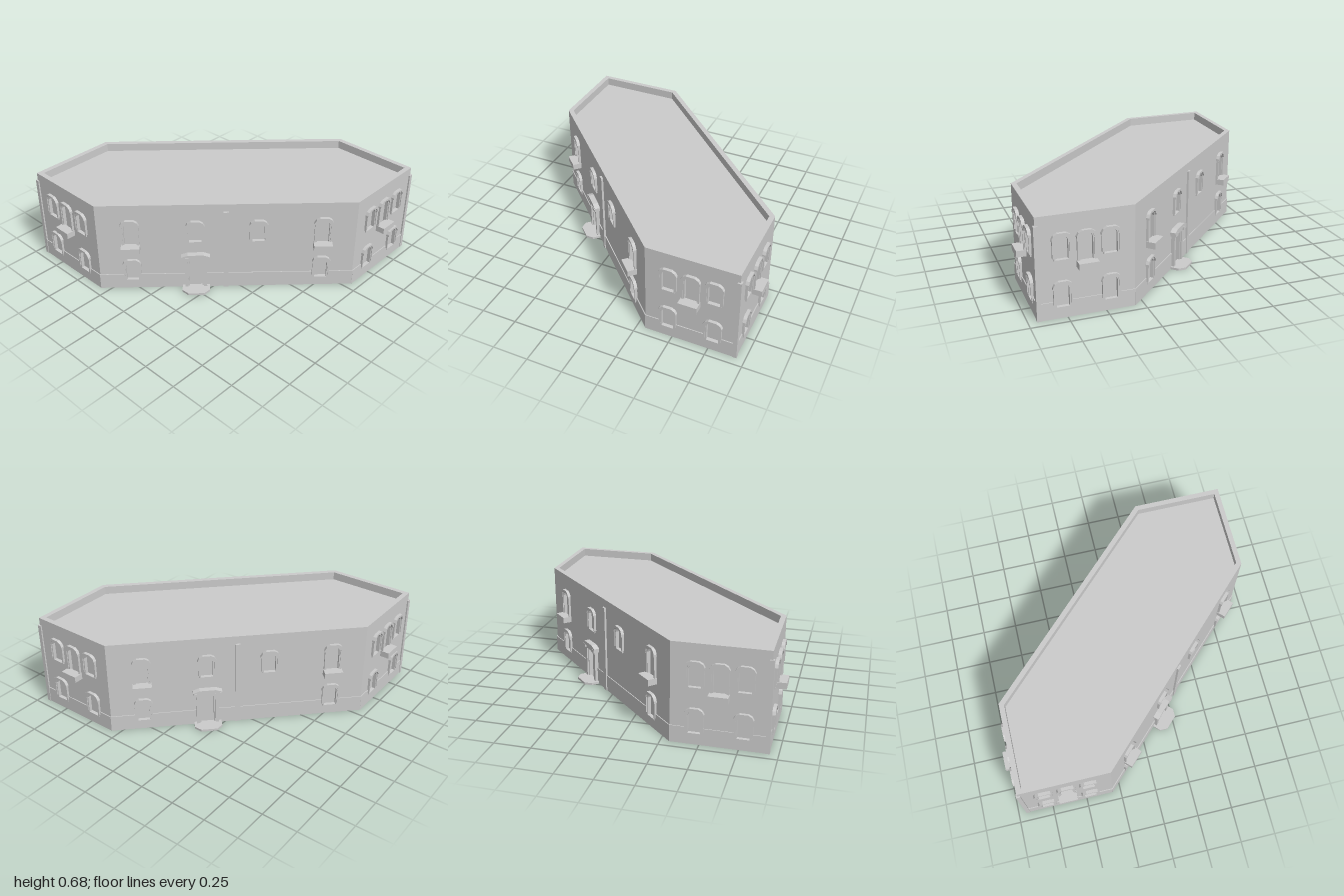
import * as THREE from 'three';

const GREY = new THREE.MeshStandardMaterial({ color: 0xcccccc, flatShading: true, side: THREE.DoubleSide });

function add(parent, name, geometry, x = 0, y = 0, z = 0) {
  const mesh = new THREE.Mesh(geometry, GREY);
  mesh.name = name;
  mesh.position.set(x, y, z);
  parent.add(mesh);
  return mesh;
}

// Box given by its width, its y range and its z range
function block(parent, name, x, w, y0, y1, z0, z1) {
  return add(parent, name, new THREE.BoxGeometry(w, y1 - y0, z1 - z0), x, (y0 + y1) / 2, (z0 + z1) / 2);
}

const extrude = (shape, depth) => new THREE.ExtrudeGeometry(shape, { depth, bevelEnabled: false });

// Outline of an arched opening with a faceted top; rise 0 gives a rectangle
function archPoints(x, w, y0, y1, rise) {
  const h = w / 2;
  const pts = [[-h, y0], [h, y0], [h, y1 - rise]];
  if (rise) pts.push([h * 0.82, y1 - rise * 0.4], [h * 0.45, y1], [-h * 0.45, y1], [-h * 0.82, y1 - rise * 0.4]);
  pts.push([-h, y1 - rise]);
  return pts.map(([px, py]) => new THREE.Vector2(x + px, py));
}

// U-shaped moulding standing over an opening
function moulding(x, wOut, wIn, y0, yOut, yIn, rise) {
  const outer = archPoints(x, wOut, y0, yOut, rise);
  const inner = archPoints(x, wIn, y0, yIn, rise);
  return new THREE.Shape([...outer.slice(1), outer[0], inner[0], ...inner.slice(1).reverse()]);
}

function addWindow(wall, { x, y0, y1, balcony }) {
  const win = new THREE.Group();
  win.name = balcony ? 'balconyWindow' : 'window';
  wall.add(win);
  // Casing lines the opening and holds the recessed pane
  const casing = new THREE.Shape(archPoints(x, 0.1, y0, y1 - 0.012, 0.035));
  casing.holes.push(new THREE.Path(archPoints(x, 0.082, y0 + 0.006, y1 - 0.022, 0.03)));
  add(win, 'casing', extrude(casing, 0.03), 0, 0, -0.02);
  add(win, 'pane', new THREE.ShapeGeometry(new THREE.Shape(archPoints(x, 0.09, y0, y1 - 0.016, 0.032))), 0, 0, -0.015);
  // Surround with a heavier hood across the arch
  add(win, 'surround', extrude(moulding(x, 0.12, 0.098, y0 + 0.02, y1 - 0.004, y1 - 0.014, 0.038), 0.016));
  add(win, 'hood', extrude(moulding(x, 0.128, 0.1, y1 - 0.05, y1, y1 - 0.014, 0.036), 0.022));
  if (balcony) block(win, 'balcony', x, 0.128, 0.327, 0.37, 0, 0.065);
}

function addDoor(wall, x) {
  const door = new THREE.Group();
  door.name = 'entrance';
  wall.add(door);
  block(door, 'doorLeaf', x, 0.09, 0, 0.25, -0.022, -0.015);
  for (const side of [-1, 1]) {
    block(door, 'doorJamb', x + side * 0.052, 0.014, 0, 0.25, -0.02, 0.015);
    block(door, 'doorPier', x + side * 0.066, 0.022, 0, 0.25, 0, 0.026);
    block(door, 'pierCap', x + side * 0.072, 0.045, 0.245, 0.268, 0, 0.042);
  }
  block(door, 'lintel', x, 0.13, 0.235, 0.265, -0.02, 0.026);
  // Low pitched canopy
  const canopy = new THREE.Shape([[-0.1, 0.262], [0.1, 0.262], [0.1, 0.276], [0.055, 0.292], [-0.055, 0.292], [-0.1, 0.276]]
    .map(([px, py]) => new THREE.Vector2(x + px, py)));
  add(door, 'canopy', extrude(canopy, 0.04));
  // Doorstep with clipped corners
  const step = new THREE.Shape([[-0.095, 0], [0.095, 0], [0.095, -0.065], [0.055, -0.105], [-0.055, -0.105], [-0.095, -0.065]]
    .map(([px, py]) => new THREE.Vector2(x + px, py)));
  add(door, 'doorstep', extrude(step, 0.016).rotateX(-Math.PI / 2));
}

// One facade facing local +z, with openings cut through wall and plinth
function makeWall(name, length, windows, doorX) {
  const wall = new THREE.Group();
  wall.name = name;
  const h = length / 2;
  const sheet = new THREE.Shape([new THREE.Vector2(-h, 0), new THREE.Vector2(h, 0), new THREE.Vector2(h, 0.62), new THREE.Vector2(-h, 0.62)]);
  const notches = [];
  for (const w of windows) {
    sheet.holes.push(new THREE.Path(archPoints(w.x, 0.096, w.y0 + 0.002, w.y1 - 0.014, 0.034)));
    if (w.y0 < 0.115) notches.push({ x: w.x, w: 0.1, y: w.y0 });
    addWindow(wall, w);
  }
  if (doorX !== undefined) {
    sheet.holes.push(new THREE.Path(archPoints(doorX, 0.1, 0.001, 0.24, 0)));
    notches.push({ x: doorX, w: 0.11, y: 0.001 });
    addDoor(wall, doorX);
  }
  add(wall, 'wallFace', new THREE.ShapeGeometry(sheet));
  // Plinth, notched around the low openings
  const plinth = [[-h - 0.002, 0], [h + 0.002, 0], [h + 0.002, 0.115]];
  notches.sort((a, b) => b.x - a.x);
  for (const n of notches) {
    const r = n.x + n.w / 2, l = n.x - n.w / 2;
    plinth.push([r, 0.115], [r, n.y], [l, n.y], [l, 0.115]);
  }
  plinth.push([-h - 0.002, 0.115]);
  add(wall, 'plinth', extrude(new THREE.Shape(plinth.map(p => new THREE.Vector2(...p))), 0.006));
  return wall;
}

// Stretched hexagon in plan, with every side moved inward by inset
function planPoints(inset) {
  const a = 0.935 - inset;
  const b = 0.625 - inset * Math.SQRT2 - a;
  return [[-a, a], [b, a], [a, b], [a, -a], [-b, -a], [-a, -b]].map(([x, z]) => new THREE.Vector2(x, -z));
}

export function createModel() {
  const model = new THREE.Group();
  model.name = 'building';

  const shortWindows = [
    ...[-0.155, 0.155].flatMap(x => [{ x, y0: 0.385, y1: 0.567 }, { x, y0: 0.072, y1: 0.252 }]),
    { x: 0, y0: 0.345, y1: 0.567, balcony: true },
  ];
  const longWindows = [
    ...[-0.655, 0.655].flatMap(x => [{ x, y0: 0.345, y1: 0.567, balcony: true }, { x, y0: 0.065, y1: 0.245 }]),
    ...[-0.215, 0.215].map(x => ({ x, y0: 0.378, y1: 0.555 })),
  ];

  // The two halves are the same under a half turn
  for (const turn of [0, Math.PI]) {
    const half = new THREE.Group();
    half.name = turn ? 'rearHalf' : 'frontHalf';
    half.rotation.y = turn;
    model.add(half);

    const endWall = makeWall('endWall', 0.625, shortWindows);
    endWall.position.set(-0.6225, 0, 0.935);
    const sideWall = makeWall('sideWall', 0.625, shortWindows);
    sideWall.position.set(0.935, 0, -0.6225);
    sideWall.rotation.y = Math.PI / 2;
    const longWall = makeWall('longWall', 1.245 * Math.SQRT2, longWindows, -0.215);
    longWall.position.set(0.3125, 0, 0.3125);
    longWall.rotation.y = Math.PI / 4;
    block(longWall, 'pilaster', -0.005, 0.036, 0, 0.623, 0, 0.014);
    half.add(endWall, sideWall, longWall);

    // Strip wrapped around the square corner
    add(half, 'cornerPilaster', new THREE.BoxGeometry(0.028, 0.623, 0.028), -0.931, 0.3115, 0.931);
  }

  // Parapet ring around a flat roof
  const ring = new THREE.Shape(planPoints(0));
  ring.holes.push(new THREE.Path(planPoints(0.035)));
  add(model, 'parapet', extrude(ring, 0.06).rotateX(-Math.PI / 2), 0, 0.62, 0);
  add(model, 'roof', new THREE.ShapeGeometry(new THREE.Shape(planPoints(0.034))).rotateX(-Math.PI / 2), 0, 0.622, 0);
  return model;
}
